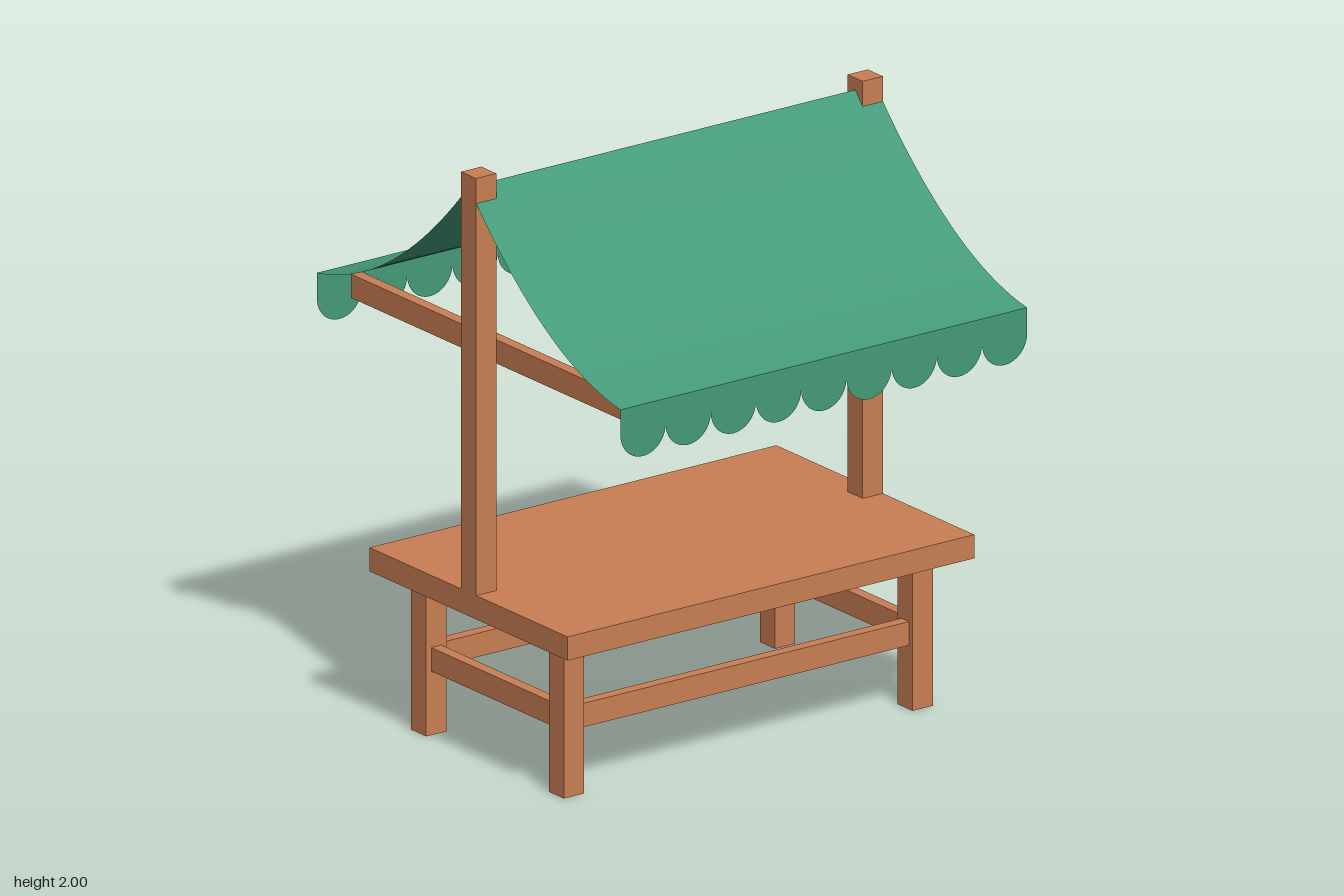
import * as THREE from 'three';

const wood = new THREE.MeshStandardMaterial({ color: 0xc97e54 });
const cloth = new THREE.MeshStandardMaterial({ color: 0x459b7a, side: THREE.DoubleSide });

const HALF = 0.805; // half the stall length, also the canopy reach
const RIDGE = 1.96, EAVE = 1.44, SAG = 0.1;

// Sagging sheet from the ridge out to the +x eave
function canopySheet() {
  const geo = new THREE.PlaneGeometry(1, 2 * HALF, 20, 1);
  geo.rotateX(-Math.PI / 2);
  const p = geo.attributes.position;
  for (let i = 0; i < p.count; i++) {
    const t = p.getX(i) + 0.5;
    p.setX(i, t * HALF);
    p.setY(i, RIDGE + (EAVE - RIDGE) * t - 4 * SAG * t * (1 - t));
  }
  geo.computeVertexNormals();
  return geo;
}

// Hanging strip with nine round scallops, facing +x
function scallopedValance() {
  const count = 9, r = HALF / count, cusp = 1.355;
  const shape = new THREE.Shape();
  shape.moveTo(HALF, EAVE);
  shape.lineTo(-HALF, EAVE);
  shape.lineTo(-HALF, cusp);
  for (let i = 0; i < count; i++) {
    shape.absarc(-HALF + (2 * i + 1) * r, cusp, r, Math.PI, 2 * Math.PI, false);
  }
  shape.closePath();
  const geo = new THREE.ShapeGeometry(shape, 14);
  geo.rotateY(Math.PI / 2);
  geo.translate(HALF, 0, 0);
  return geo;
}

export function createModel() {
  const model = new THREE.Group();
  model.name = 'marketStall';

  const add = (parent, name, geo, mat) => {
    const mesh = new THREE.Mesh(geo, mat);
    mesh.name = name;
    parent.add(mesh);
    return mesh;
  };
  // Timber of size w, h, d with its underside at y
  const timber = (name, w, h, d, x, y, z) =>
    add(model, name, new THREE.BoxGeometry(w, h, d), wood).position.set(x, y + h / 2, z);

  timber('tableTop', 1.05, 0.08, 2 * HALF, 0, 0.515, 0);

  const legX = 0.365, legZ = 0.69;
  for (const s of [-1, 1]) {
    for (const e of [-1, 1]) timber('leg', 0.08, 0.515, 0.08, s * legX, 0, e * legZ);

    // Stretchers between the legs
    timber('endStretcher', 2 * legX - 0.08, 0.08, 0.04, 0, 0.215, s * legZ);
    timber('sideStretcher', 0.04, 0.08, 2 * legZ - 0.08, s * legX, 0.215, 0);

    // Canopy post with a cross beam on its inner face
    timber('post', 0.08, 1.405, 0.08, 0, 0.595, s * (HALF - 0.04));
    timber('crossBeam', 1.46, 0.08, 0.04, 0, 1.36, s * (HALF - 0.1));

    // One half of the canopy
    const half = new THREE.Group();
    half.name = s > 0 ? 'canopyLeft' : 'canopyRight';
    add(half, 'canopySheet', canopySheet(), cloth);
    add(half, 'valance', scallopedValance(), cloth);
    if (s < 0) half.rotation.y = Math.PI;
    model.add(half);
  }
  return model;
}
